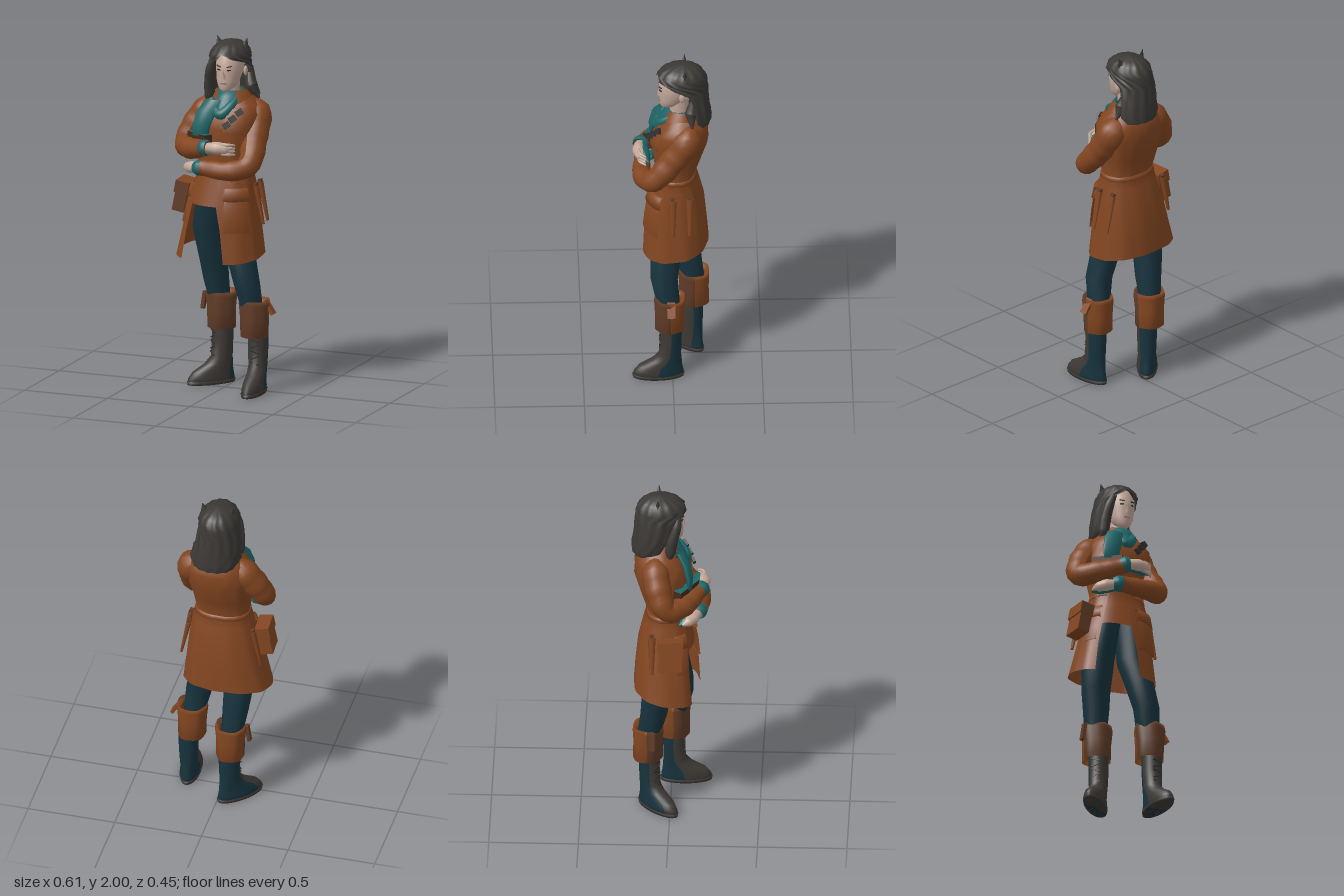
import * as THREE from 'three';

const mat = (name, color) => {
  const m = new THREE.MeshStandardMaterial({ color, side: THREE.DoubleSide });
  m.name = name;
  return m;
};
const TAU = Math.PI * 2;
const power = (v, p) => Math.sign(v) * Math.abs(v) ** p;

// Surface through horizontal elliptical sections, bottom to top.
// Section: [y, cx, cz, rx, rz, startAngle, endAngle], angle 0 = +z, turning to +x.
// A square value under 1 makes the sections boxier.
function loft(sections, { seg = 32, wave = 0, waves = 9, tilt = 0, square = 1 } = {}) {
  const pos = [], idx = [];
  const closed = sections.every(s => s[5] === undefined);
  const cols = closed ? seg : seg + 1;
  sections.forEach(([y, cx, cz, rx, rz, a0 = 0, a1 = TAU], i) => {
    for (let j = 0; j < cols; j++) {
      const a = a0 + (a1 - a0) * j / seg;
      const k = 1 + wave * Math.sin(a * waves + i * 0.6);
      pos.push(cx + rx * k * power(Math.sin(a), square), y - (i === 0 ? tilt * Math.cos(a) : 0),
        cz + rz * k * power(Math.cos(a), square));
    }
  });
  for (let i = 0; i < sections.length - 1; i++) {
    for (let j = 0; j < seg; j++) {
      const n = (j + 1) % cols;
      const a = i * cols + j, b = i * cols + n, c = a + cols, d = b + cols;
      idx.push(a, b, d, a, d, c);
    }
  }
  const g = new THREE.BufferGeometry();
  g.setAttribute('position', new THREE.Float32BufferAttribute(pos, 3));
  g.setIndex(idx);
  g.computeVertexNormals();
  return g;
}

// Tapered tube along points [x, y, z, radius]; flat squashes its height.
function limb(points, { flat = 1, ripple = 0 } = {}) {
  const N = 28, R = 14;
  const curve = new THREE.CatmullRomCurve3(points.map(p => new THREE.Vector3(p[0], p[1], p[2])));
  const g = new THREE.TubeGeometry(curve, N, 1, R);
  const p = g.attributes.position, v = new THREE.Vector3();
  for (let i = 0; i <= N; i++) {
    const c = curve.getPointAt(i / N);
    const t = curve.getUtoTmapping(i / N) * (points.length - 1);
    const k = Math.min(Math.floor(t), points.length - 2);
    const r = THREE.MathUtils.lerp(points[k][3], points[k + 1][3], t - k) * (1 + ripple * Math.sin(i * 1.6));
    for (let j = 0; j <= R; j++) {
      const n = i * (R + 1) + j;
      v.fromBufferAttribute(p, n).sub(c).multiplyScalar(r);
      p.setXYZ(n, c.x + v.x, c.y + v.y * flat, c.z + v.z);
    }
  }
  g.computeVertexNormals();
  return g;
}

// Coat sections with the front opening as an angle range
const COAT = [
  [0.77, -0.03, -0.017, 0.25, 0.188, 0.3, 5.53],
  [0.92, -0.02, -0.02, 0.222, 0.177, 0.2, 5.5],
  [1.06, -0.01, -0.02, 0.198, 0.163, 0.06, 5.52],
  [1.2, 0, -0.02, 0.17, 0.13, 0.02, 5.6],
  [1.27, 0, -0.018, 0.152, 0.111, 0, 5.65],
  [1.38, 0, -0.03, 0.165, 0.135, 0, 5.5],
  [1.5, 0.01, -0.043, 0.185, 0.16, 0, 5.5],
  [1.58, 0.02, -0.052, 0.185, 0.15, 0.15, 5.8],
  [1.63, 0.022, -0.064, 0.16, 0.122, 0.3, 5.9],
  [1.67, 0.022, -0.063, 0.115, 0.09, 0.4, 5.9],
];
const SQUARE = 0.86;
function coatAt(y) {
  let i = 0;
  while (i < COAT.length - 2 && COAT[i + 1][0] < y) i++;
  const t = (y - COAT[i][0]) / (COAT[i + 1][0] - COAT[i][0]);
  return COAT[i].map((v, k) => THREE.MathUtils.lerp(v, COAT[i + 1][k], t));
}
// Raised panel that follows the coat, with edges turned in
function patch(y0, y1, a0, a1, off) {
  const row = (y, o) => {
    const s = coatAt(y);
    return [y, s[1], s[2], s[3] + o, s[4] + o, a0, a1];
  };
  return loft([row(y0, -0.005), row(y0, off), row((y0 + y1) / 2, off), row(y1, off), row(y1, -0.005)], { seg: 14, square: SQUARE });
}

export function createModel() {
  const root = new THREE.Group();
  const coat = mat('coat brown', 0x834621), brown = mat('dark brown', 0x603c27), fold = mat('fold brown', 0x47291a);
  const teal = mat('scarf teal', 0x1d6567), blue = mat('trouser blue', 0x18333e), grey = mat('boot grey', 0x3d3935);
  const hairMat = mat('hair', 0x3b3835), skin = mat('skin', 0xc2a698), dark = mat('dark detail', 0x302e2e);
  const lip = mat('lip', 0x9a746a);
  const add = (name, geo, m, parent = root) => {
    const mesh = new THREE.Mesh(geo, m);
    mesh.name = name;
    parent.add(mesh);
    return mesh;
  };
  const box = (name, m, size, at, rot = [0, 0, 0]) => {
    const b = add(name, new THREE.BoxGeometry(...size), m);
    b.position.set(...at);
    b.rotation.set(...rot);
    return b;
  };

  // Coat, vest, belt and pockets
  add('coat', loft(COAT, { seg: 64, tilt: 0.03, wave: 0.01, waves: 11, square: SQUARE }), coat);
  add('vest', loft(COAT.slice(2, 9).map(s => [s[0], s[1], s[2], s[3] * 0.94, s[4] * 0.94]), { square: SQUARE }), coat);
  add('belt', patch(1.245, 1.27, 0.3, 5.6, 0.004), coat);
  add('leftPocket', patch(0.92, 1.12, 0.26, 1.02, 0.012), coat);
  add('leftPocketFlap', patch(1.1, 1.17, 0.22, 1.06, 0.02), coat);
  add('rightPocket', patch(0.95, 1.12, 5.0, 5.42, 0.01), coat);
  add('rightPocketFlap', patch(1.1, 1.17, 4.96, 5.46, 0.018), coat);
  add('collar', loft([[1.63, 0.022, -0.055, 0.14, 0.115, 0.45, 5.85], [1.665, 0.022, -0.05, 0.118, 0.1, 0.45, 5.85],
    [1.71, 0.022, -0.05, 0.082, 0.078, 0.7, 5.6]]), coat);
  add('leftLapel', patch(1.48, 1.62, 0.12, 0.75, 0.01), coat);
  for (const [x, y, z] of [[0.122, 1.605, 0.08], [0.092, 1.57, 0.106], [0.062, 1.535, 0.122]]) {
    box('chestLoop', dark, [0.034, 0.042, 0.016], [x, y, z], [-0.35, 0.4, -0.85]);
  }

  // Folded arms
  add('rightSleeve', limb([[-0.07, 1.625, -0.075, 0.03], [-0.125, 1.58, -0.08, 0.078], [-0.2, 1.48, -0.06, 0.074],
    [-0.24, 1.38, -0.015, 0.062], [-0.17, 1.375, 0.08, 0.062], [-0.045, 1.405, 0.168, 0.045]], { ripple: 0.03 }), coat);
  add('leftSleeve', limb([[0.1, 1.63, -0.075, 0.03], [0.155, 1.58, -0.085, 0.085], [0.176, 1.45, -0.01, 0.076],
    [0.185, 1.31, 0.11, 0.062], [0.1, 1.285, 0.165, 0.056], [-0.07, 1.29, 0.165, 0.045]], { ripple: 0.03 }), coat);
  // Turned sleeve fold lying along the right forearm
  box('sleeveFold', [fold, fold, teal, fold, fold, teal], [0.17, 0.065, 0.05], [-0.112, 1.438, 0.09], [0, -0.6, 0.03]);
  add('rightCuff', limb([[-0.06, 1.405, 0.16, 0.044], [-0.04, 1.409, 0.174, 0.047], [-0.02, 1.412, 0.182, 0.038]]), teal);
  add('leftCuff', limb([[-0.06, 1.29, 0.165, 0.044], [-0.085, 1.287, 0.16, 0.046], [-0.11, 1.283, 0.15, 0.036]]), teal);
  const hands = {
    right: [[-0.03, 1.412, 0.178, 0.03], [0.03, 1.415, 0.182, 0.04], [0.08, 1.41, 0.17, 0.034], [0.12, 1.4, 0.15, 0.006]],
    left: [[-0.1, 1.283, 0.15, 0.03], [-0.14, 1.278, 0.128, 0.038], [-0.175, 1.27, 0.098, 0.032], [-0.2, 1.262, 0.07, 0.006]],
  };
  for (const [side, pts] of Object.entries(hands)) {
    add(side + 'Hand', limb(pts, { flat: 0.9 }), skin);
    add(side + 'GlovePalm', limb(pts.map(([x, y, z, r]) => [x + 0.005, y - 0.004, z - 0.016, r]), { flat: 0.9 }), teal);
  }
  for (let i = 0; i < 4; i++) {
    add('finger', limb([[0.06, 1.44 - i * 0.018, 0.19, 0.01], [0.1, 1.437 - i * 0.018, 0.178, 0.01], [0.125, 1.432 - i * 0.018, 0.15, 0.005]]), skin);
  }

  // Scarf wrapped at the neck with a hanging tail
  add('neck', loft([[1.58, 0.02, -0.05, 0.06, 0.06], [1.68, 0.02, -0.04, 0.05, 0.052], [1.78, 0.022, -0.04, 0.05, 0.055]]), skin);
  add('scarf', loft([[1.575, 0.005, 0.01, 0.04, 0.09], [1.61, 0.01, -0.015, 0.085, 0.105], [1.645, 0.015, -0.025, 0.095, 0.09],
    [1.68, 0.02, -0.032, 0.085, 0.076], [1.71, 0.025, -0.038, 0.072, 0.062], [1.69, 0.025, -0.035, 0.05, 0.05]],
    { wave: 0.035, waves: 5 }), teal);
  add('scarfFront', limb([[0.085, 1.69, -0.02, 0.015], [0.06, 1.63, 0.055, 0.026], [0.01, 1.585, 0.085, 0.032], [-0.07, 1.65, 0.02, 0.02]]), teal);
  add('scarfTail', loft([[1.46, -0.1, 0.11, 0.0, 0.0], [1.46, -0.1, 0.11, 0.045, 0.014], [1.52, -0.095, 0.106, 0.05, 0.02],
    [1.6, -0.07, 0.085, 0.055, 0.025], [1.66, -0.04, 0.045, 0.045, 0.025]], { wave: 0.06, waves: 4 }), teal);

  // Head and face
  add('head', loft([[1.705, 0.02, 0.035, 0, 0], [1.708, 0.02, 0.035, 0.018, 0.02], [1.728, 0.02, 0.018, 0.044, 0.05],
    [1.765, 0.022, -0.002, 0.063, 0.071], [1.82, 0.025, -0.02, 0.075, 0.09], [1.88, 0.025, -0.03, 0.08, 0.102],
    [1.94, 0.025, -0.045, 0.06, 0.08]]), skin);
  const nose = add('nose', new THREE.ConeGeometry(0.015, 0.055, 4), skin);
  nose.position.set(0.023, 1.812, 0.072);
  nose.rotation.x = 0.25;
  for (const s of [-1, 1]) {
    box('eye', dark, [0.022, 0.006, 0.006], [0.024 + s * 0.031, 1.836, 0.064], [0, s * 0.45, 0]);
    box('eyebrow', hairMat, [0.03, 0.005, 0.006], [0.024 + s * 0.032, 1.857, 0.066], [0, s * 0.45, s * 0.2]);
    const ear = add('ear', new THREE.SphereGeometry(0.022, 10, 8), skin);
    ear.position.set(0.025 + s * 0.08, 1.815, -0.055);
    ear.scale.set(0.5, 1.3, 0.8);
  }
  box('mouth', lip, [0.034, 0.009, 0.006], [0.022, 1.758, 0.067]);

  // Hair, parted on one side and tucked behind the left ear
  add('hair', loft([[1.63, 0.025, -0.135, 0.115, 0.082, 2.0, 4.9], [1.67, 0.022, -0.1, 0.142, 0.12, 1.9, 5.1],
    [1.75, 0.012, -0.085, 0.13, 0.122, 1.9, 5.35], [1.83, 0.01, -0.068, 0.12, 0.135, 1.8, 5.45],
    [1.87, 0.012, -0.055, 0.115, 0.142, 1.25, 5.6], [1.9, 0.015, -0.052, 0.114, 0.142, 0.5, 6.1],
    [1.925, 0.015, -0.052, 0.107, 0.132, 0, TAU], [1.952, 0.015, -0.054, 0.088, 0.108, 0, TAU],
    [1.973, 0.015, -0.058, 0.06, 0.075, 0, TAU], [1.985, 0.015, -0.062, 0, 0, 0, TAU]], { seg: 84, wave: 0.03, waves: 13 }), hairMat);
  add('hairLock', limb([[-0.035, 1.915, 0.045, 0.012], [-0.07, 1.83, 0.035, 0.027], [-0.085, 1.74, 0.01, 0.032], [-0.09, 1.67, 0.0, 0.03], [-0.1, 1.6, -0.01, 0.004]]), hairMat);
  add('hairLock', limb([[0.1, 1.79, -0.12, 0.02], [0.12, 1.72, -0.105, 0.035], [0.165, 1.65, -0.11, 0.006]]), hairMat);
  for (const s of [-1, 1]) {
    const ear = add('pointedEar', new THREE.ConeGeometry(0.042, 0.09, 4), hairMat);
    ear.position.set(0.018 + s * 0.077, 1.957, -0.07);
    ear.scale.z = 0.6;
    ear.rotation.z = -s * 0.3;
  }

  // Trousers
  add('leftLeg', loft([[0.4, 0.185, 0.015, 0.055, 0.06], [0.52, 0.17, 0.03, 0.065, 0.068], [0.62, 0.155, 0.045, 0.074, 0.075],
    [0.75, 0.12, 0.035, 0.08, 0.084], [0.9, 0.092, 0.0, 0.088, 0.095], [1.12, 0.07, -0.01, 0.085, 0.1]], { wave: 0.025, waves: 5 }), blue);
  add('rightLeg', loft([[0.4, -0.078, -0.125, 0.055, 0.06], [0.5, -0.08, -0.115, 0.063, 0.066], [0.6, -0.088, -0.095, 0.072, 0.074],
    [0.72, -0.098, -0.08, 0.08, 0.082], [0.9, -0.108, -0.04, 0.092, 0.1], [1.12, -0.08, -0.02, 0.09, 0.105]], { wave: 0.025, waves: 5 }), blue);

  // Boots and turned-down cuffs, each with a front and a back colour
  const halves = (name, rows, front, back, yaw, parent, options) => {
    add(name + 'Front', loft(rows.map(r => [...r, -1.6 - yaw, 1.6 - yaw]), options), front, parent);
    add(name + 'Back', loft(rows.map(r => [...r, 1.6 - yaw, TAU - 1.6 - yaw]), options), back, parent);
  };
  const boot = (name, x, z, yaw, cuffX, cuffZ) => {
    const g = new THREE.Group();
    g.name = name;
    g.position.set(x, 0, z);
    g.rotation.y = yaw;
    root.add(g);
    halves('boot', [[0, 0, 0.07, 0, 0], [0, 0, 0.07, 0.052, 0.138], [0.035, 0, 0.07, 0.057, 0.14], [0.07, 0, 0.06, 0.054, 0.123],
      [0.11, 0, 0.025, 0.051, 0.085], [0.15, 0, 0.006, 0.052, 0.063], [0.25, 0, 0, 0.056, 0.06], [0.34, 0, 0, 0.057, 0.061]],
      grey, blue, yaw, g);
    add('sole', loft([[0, 0, 0.07, 0, 0], [0, 0, 0.07, 0.056, 0.143], [0.018, 0, 0.07, 0.06, 0.147], [0.022, 0, 0.07, 0.05, 0.13]]), grey, g);
    for (let i = 0; i < 5; i++) {
      const lace = add('lace', new THREE.BoxGeometry(0.05, 0.007, 0.008), dark, g);
      lace.position.set(0, 0.17 + i * 0.032, 0.062 - i * 0.0005);
      lace.rotation.z = i % 2 ? 0.35 : -0.35;
    }
    halves('bootCuff', [[0.35, cuffX, cuffZ, 0.06, 0.06], [0.315, cuffX, cuffZ, 0.078, 0.083], [0.42, cuffX, cuffZ, 0.08, 0.082],
      [0.5, cuffX, cuffZ, 0.088, 0.086], [0.525, cuffX, cuffZ, 0.082, 0.082], [0.5, cuffX, cuffZ, 0.06, 0.06]],
      brown, coat, 0, root, { wave: 0.035, waves: 5, tilt: 0.008 });
  };
  boot('leftBoot', 0.208, 0.01, 0.05, 0.19, 0.015);
  boot('rightBoot', -0.06, -0.118, -0.75, -0.068, -0.127);
  box('leftCuffTie', coat, [0.018, 0.09, 0.045], [0.276, 0.485, 0.01], [0, 0, 0.6]);
  box('rightCuffTie', brown, [0.02, 0.1, 0.03], [-0.165, 0.465, -0.1], [0, 0, -0.15]);

  // Hip pouch with a darker front, and hanging sheaths
  const pouchMats = [coat, coat, coat, coat, brown, coat];
  box('pouch', pouchMats, [0.07, 0.17, 0.13], [-0.242, 1.085, 0.005], [0, 0.05, -0.2]);
  box('pouchFlap', pouchMats, [0.08, 0.07, 0.14], [-0.234, 1.14, 0.005], [0, 0.05, -0.2]);
  for (const [x, z, s] of [[0.213, 0.0, 1], [0.2, -0.095, 1], [-0.215, -0.1, -1]]) {
    const sheath = add('sheath', new THREE.CylinderGeometry(0.022, 0.011, 0.22, 6), coat);
    sheath.position.set(x, 1.065, z);
    sheath.scale.x = 0.7;
    sheath.rotation.z = s * 0.2;
    box('sheathHandle', brown, [0.02, 0.03, 0.026], [x - s * 0.023, 1.175, z], [0, 0, s * 0.2]);
  }
  return root;
}
